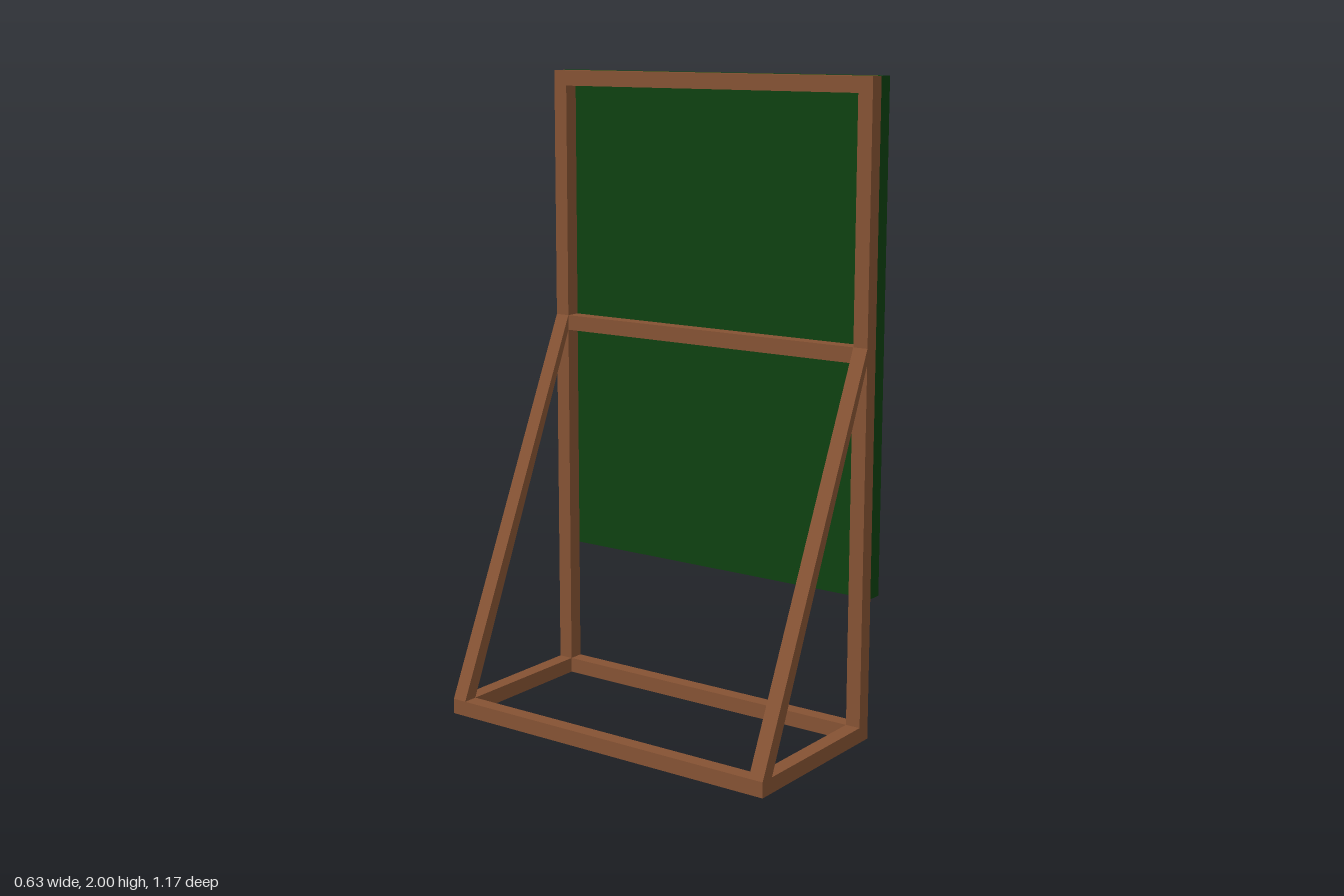
import * as THREE from 'three';

const wood = new THREE.MeshStandardMaterial({ color: 0x855233, flatShading: true });
const green = new THREE.MeshStandardMaterial({ color: 0x0e4010, flatShading: true });

const T = 0.048;                    // timber thickness
const BACK = -0.315, POST = 0.219;  // x where the rear rail and the posts begin
const Z = 0.585;                    // half width
const BRACE_TOP = 1.215;

export function createModel() {
  const model = new THREE.Group();
  model.name = 'standingBoard';

  // Box given by its extents on each axis
  function box(name, [x0, x1], [y0, y1], [z0, z1], material = wood) {
    const mesh = new THREE.Mesh(new THREE.BoxGeometry(x1 - x0, y1 - y0, z1 - z0), material);
    mesh.position.set((x0 + x1) / 2, (y0 + y1) / 2, (z0 + z1) / 2);
    mesh.name = name;
    model.add(mesh);
  }

  const postX = [POST, POST + T];
  const inner = [-Z + T, Z - T];

  // Board
  box('board', [POST + T, 0.315], [0.443, 2], [-Z, Z], green);

  // Rails running across the width
  box('topRail', postX, [2 - T, 2], inner);
  box('middleRail', postX, [BRACE_TOP - T, BRACE_TOP], inner);
  box('frontBaseRail', postX, [0, T], inner);
  box('rearBaseRail', [BACK, BACK + T], [0, T], inner);

  // Diagonal brace outline, narrowing toward the post
  const braceShape = new THREE.Shape([
    new THREE.Vector2(BACK, T),
    new THREE.Vector2(BACK + T, T),
    new THREE.Vector2(POST, BRACE_TOP - T),
    new THREE.Vector2(POST, BRACE_TOP),
  ]);
  const braceGeometry = new THREE.ExtrudeGeometry(braceShape, { depth: T, bevelEnabled: false });

  // Post, base rail and brace on each side
  for (const [side, z] of [['front', Z - T], ['back', -Z]]) {
    box(side + 'Post', postX, [0, 2], [z, z + T]);
    box(side + 'SideBaseRail', [BACK, POST], [0, T], [z, z + T]);
    const brace = new THREE.Mesh(braceGeometry, wood);
    brace.position.z = z;
    brace.name = side + 'Brace';
    model.add(brace);
  }

  return model;
}
